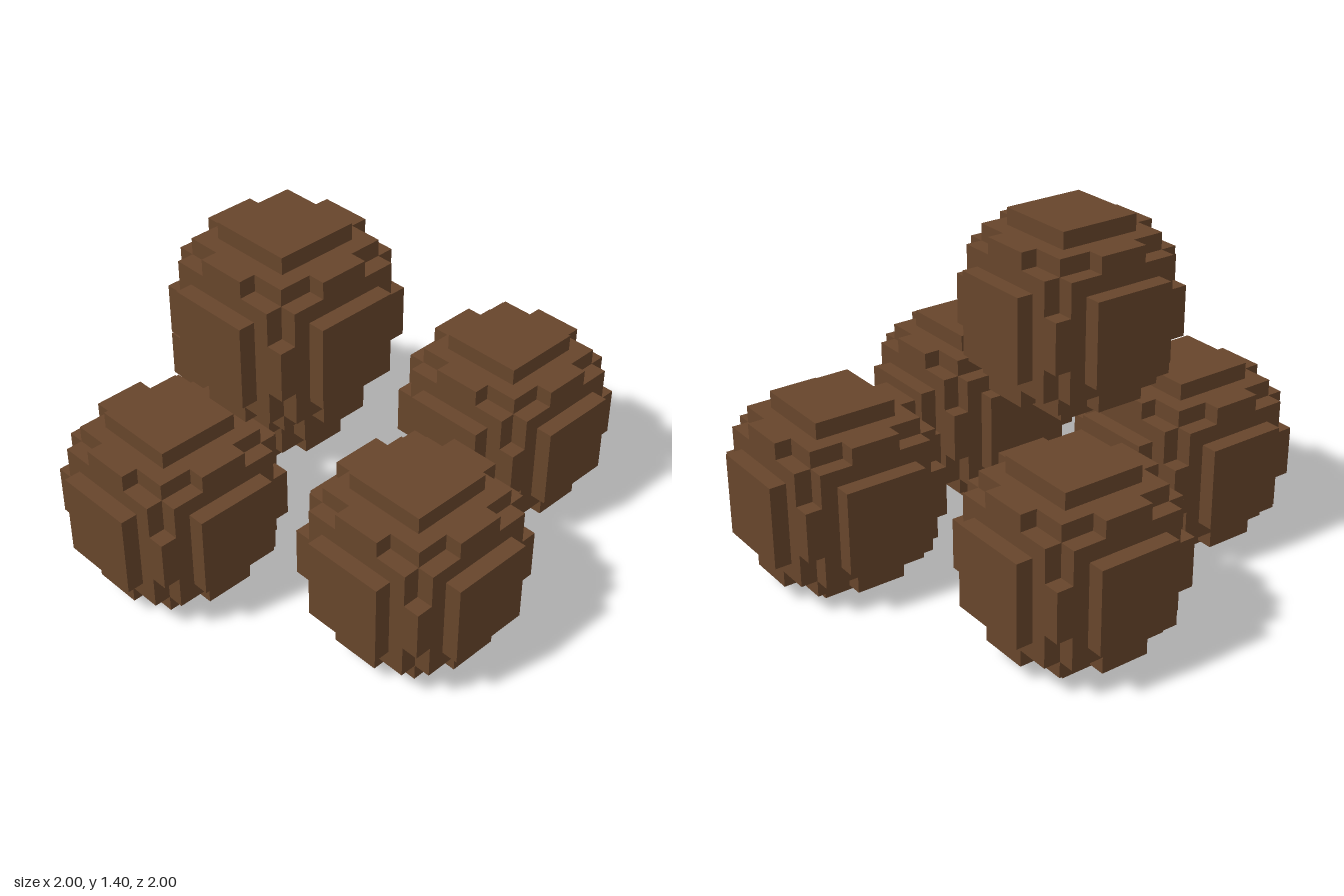
import * as THREE from 'three';

const UNIT = 1 / 15; // edge of one block

// A block belongs to the ball when its sorted offsets fit one of three nested slabs.
function inBall(p) {
  const [a, b, c] = p.map(Math.abs).sort((m, n) => n - m);
  return (a <= 5 && b <= 2) || (a <= 4 && b <= 3) || (a <= 4 && b <= 4 && c <= 1);
}

// Outer skin of the blocky ball: one quad for each exposed block face.
function ballGeometry() {
  const positions = [], normals = [], index = [];
  const addFace = (cell, axis, sign) => {
    const u = (axis + 1) % 3, v = (axis + 2) % 3;
    const first = positions.length / 3;
    for (const [du, dv] of [[-1, -1], [1, -1], [1, 1], [-1, 1]]) {
      const corner = [...cell], normal = [0, 0, 0];
      corner[axis] += sign * 0.5;
      corner[u] += du * 0.5 * sign;
      corner[v] += dv * 0.5;
      normal[axis] = sign;
      positions.push(...corner.map((n) => n * UNIT));
      normals.push(...normal);
    }
    index.push(first, first + 1, first + 2, first, first + 2, first + 3);
  };
  for (let x = -5; x <= 5; x++)
    for (let y = -5; y <= 5; y++)
      for (let z = -5; z <= 5; z++) {
        const cell = [x, y, z];
        if (!inBall(cell)) continue;
        for (let axis = 0; axis < 3; axis++)
          for (const sign of [-1, 1]) {
            const next = [...cell];
            next[axis] += sign;
            if (!inBall(next)) addFace(cell, axis, sign);
          }
      }
  const geometry = new THREE.BufferGeometry();
  geometry.setAttribute('position', new THREE.Float32BufferAttribute(positions, 3));
  geometry.setAttribute('normal', new THREE.Float32BufferAttribute(normals, 3));
  geometry.setIndex(index);
  return geometry;
}

export function createModel() {
  const group = new THREE.Group();
  group.name = 'ballPile';
  const brown = new THREE.MeshStandardMaterial({ color: 0x67452b });
  brown.name = 'brown';
  const geometry = ballGeometry();

  // Four balls on the ground and one resting on top, centres in block units.
  const balls = {
    rightBall: [-9.5, 5.5, -3.5],
    frontBall: [-3.5, 5.5, 9.5],
    leftBall: [9.5, 5.5, 4.5],
    backBall: [3.5, 5.5, -9.5],
    topBall: [-2.5, 15.5, -1.5],
  };
  for (const [name, centre] of Object.entries(balls)) {
    const ball = new THREE.Mesh(geometry, brown);
    ball.name = name;
    ball.position.set(...centre).multiplyScalar(UNIT);
    group.add(ball);
  }
  return group;
}
